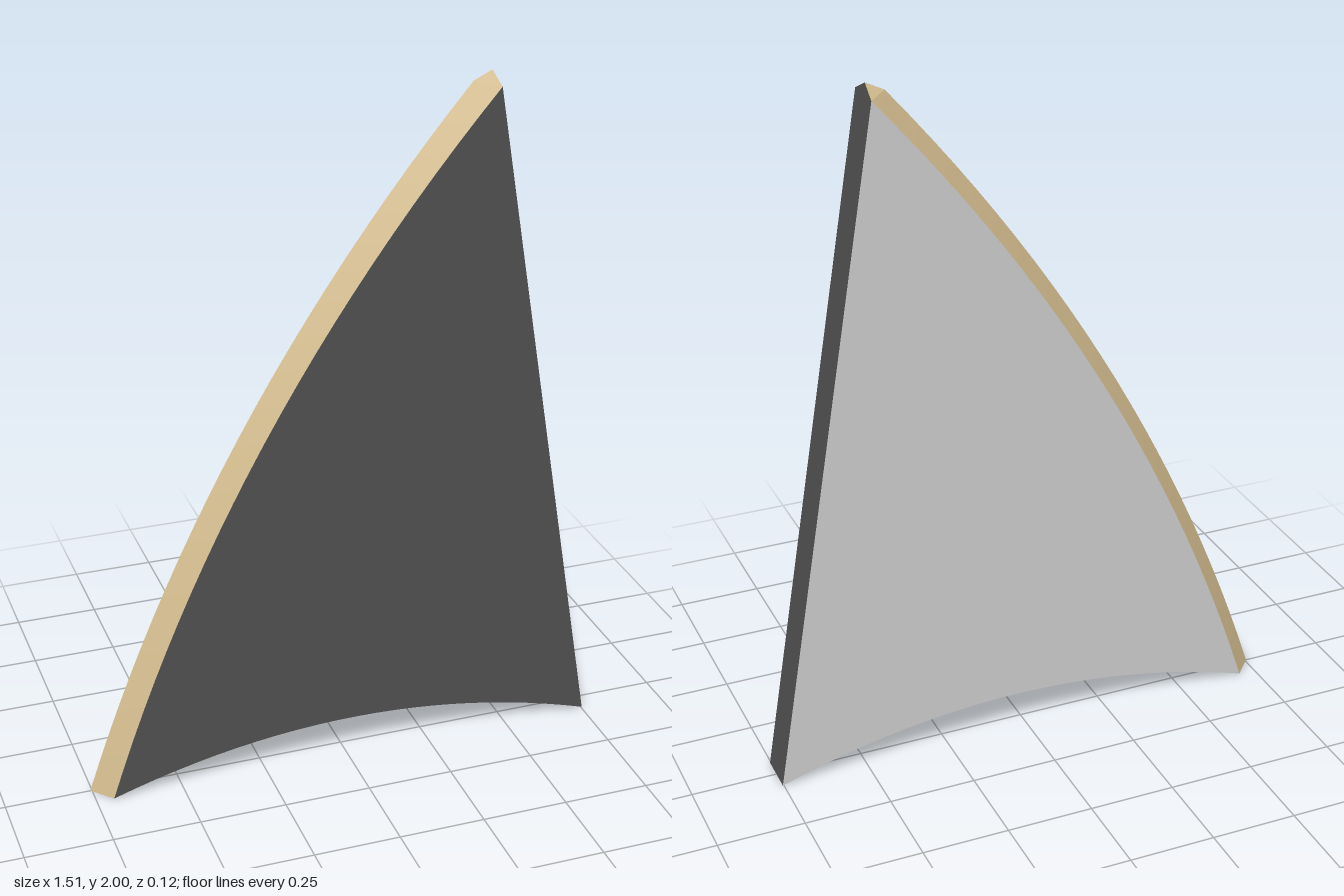
import * as THREE from 'three';

const HALF = 0.06; // half thickness
const SEGMENTS = 24;

const curve = (x0, y0, cx, cy, x1, y1) =>
  new THREE.QuadraticBezierCurve(
    new THREE.Vector2(x0, y0), new THREE.Vector2(cx, cy), new THREE.Vector2(x1, y1)
  ).getPoints(SEGMENTS);
const line = (...xy) => {
  const pts = [];
  for (let i = 0; i < xy.length; i += 2) pts.push(new THREE.Vector2(xy[i], xy[i + 1]));
  return pts;
};

// Ruled surface between two rows of points lying at depths za and zb
function strip(a, za, b, zb) {
  const pos = [], index = [];
  a.forEach((p, i) => {
    pos.push(p.x, p.y, za, b[i].x, b[i].y, zb);
    if (i < a.length - 1) {
      const k = i * 2;
      if (!p.equals(a[i + 1])) index.push(k, k + 2, k + 1);
      if (!b[i].equals(b[i + 1])) index.push(k + 2, k + 3, k + 1);
    }
  });
  const geo = new THREE.BufferGeometry();
  geo.setAttribute('position', new THREE.Float32BufferAttribute(pos, 3));
  geo.setIndex(index);
  geo.computeVertexNormals();
  return geo;
}

export function createModel() {
  const group = new THREE.Group();
  const mat = (color) => new THREE.MeshStandardMaterial({ color });
  const dark = mat(0x505050), grey = mat(0xcccccc), tan = mat(0xd2bb8e);

  const add = (name, geo, material, parent = group) => {
    const mesh = new THREE.Mesh(geo, material);
    mesh.name = name;
    parent.add(mesh);
  };

  // Both halves of an edge: front rim to middle line, middle line to back rim
  const addEdge = (name, rim, middle, material) => {
    const edge = new THREE.Group();
    edge.name = name;
    add(name + 'Front', strip(rim, HALF, middle, 0), material, edge);
    add(name + 'Back', strip(middle, 0, rim, -HALF), material, edge);
    group.add(edge);
  };

  // Rim outline, clockwise seen from the front
  const leading = curve(-0.7, 0, -0.34, 1.1, 0.427, 1.97);
  const trailing = line(0.427, 1.97, 0.753, 0, 0.753, 0);
  const arch = curve(0.753, 0, 0.026, 0.24, -0.7, 0);

  // Side panels: the back one is drawn mirrored, then turned to face backwards
  const outline = [...leading, ...arch.slice(1, -1)];
  outline.splice(leading.length, 0, arch[0]);
  const mirrored = outline.map((p) => new THREE.Vector2(-p.x, p.y));
  const panel = (points) => new THREE.ShapeGeometry(new THREE.Shape(points)).translate(0, 0, HALF);
  add('frontPanel', panel(outline), dark);
  add('backPanel', panel(mirrored).rotateY(Math.PI), grey);

  // Sharpened leading edge and its small peaked tip
  addEdge('leadingEdge', leading, curve(-0.755, 0, -0.39, 1.1, 0.37, 1.975), tan);
  addEdge('tip', line(0.427, 1.97, 0.427, 1.97), line(0.37, 1.975, 0.422, 2), tan);

  // Flat trailing edge, closed at its foot, and grooved, arched base
  addEdge('trailingEdge', trailing, line(0.422, 2, 0.746, 0.045, 0.753, 0), dark);
  addEdge('base', arch, curve(0.746, 0.045, 0.02, 0.28, -0.755, 0), dark);

  return group;
}
